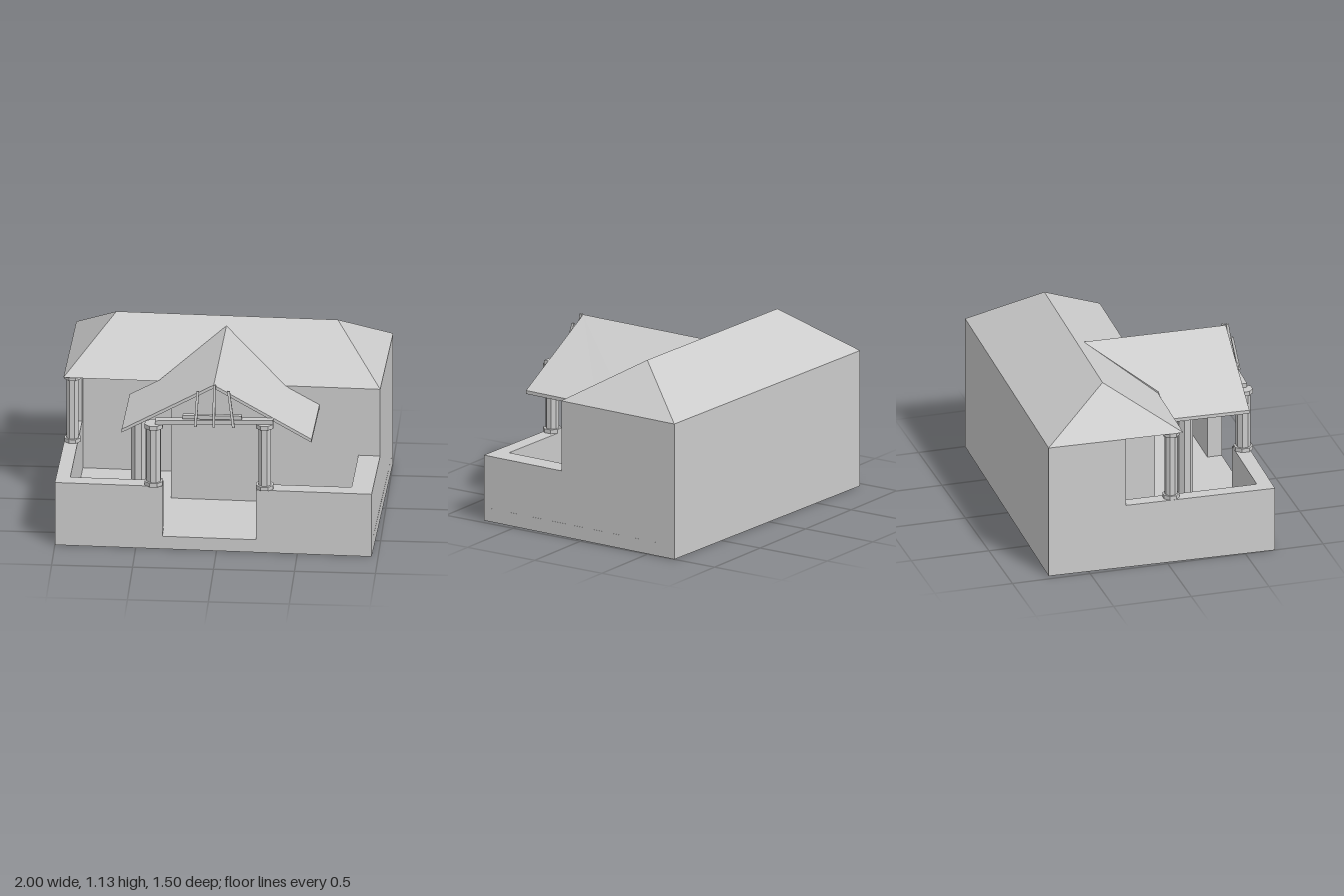
import * as THREE from 'three';

const material = new THREE.MeshStandardMaterial({ color: 0xcccccc, flatShading: true });

export function createModel() {
  const house = new THREE.Group();
  house.name = 'house';

  const add = (name, geometry, parent = house) => {
    const mesh = new THREE.Mesh(geometry, material);
    mesh.name = name;
    parent.add(mesh);
    return mesh;
  };

  // Upright block from a plan outline of [x, z] corners
  const block = (plan, y0, y1) => {
    const shape = new THREE.Shape(plan.map(([x, z]) => new THREE.Vector2(x, -z)));
    const geometry = new THREE.ExtrudeGeometry(shape, { depth: y1 - y0, bevelEnabled: false });
    return geometry.rotateX(-Math.PI / 2).translate(0, y0, 0);
  };

  // Rectangular bar between two points
  const bar = (name, from, to, width, depth) => {
    const a = new THREE.Vector3(...from), b = new THREE.Vector3(...to);
    const dir = b.clone().sub(a);
    const mesh = add(name, new THREE.BoxGeometry(width, dir.length(), depth));
    mesh.position.copy(a).add(b).multiplyScalar(0.5);
    mesh.quaternion.setFromUnitVectors(new THREE.Vector3(0, 1, 0), dir.normalize());
  };

  // Eight-sided column, with optional base and cap
  const column = (name, x, z, y0, y1, radius, trim) => {
    const group = new THREE.Group();
    group.name = name;
    group.position.set(x, 0, z);
    house.add(group);
    const drum = (part, r, lo, hi) => {
      const g = new THREE.CylinderGeometry(r, r, hi - lo, 8).rotateY(Math.PI / 8);
      add(part, g.translate(0, (lo + hi) / 2, 0), group);
    };
    if (trim) {
      drum('columnBase', trim, y0, y0 + 0.025);
      drum('columnCap', trim, y1 - 0.028, y1);
    }
    const inset = trim ? 0.025 : 0;
    drum('columnShaft', radius, y0 + inset, y1 - inset);
  };

  // Floor and walls
  const floorY = 0.085, wallY = 0.42, eaveY = 0.87;
  add('floor', block([[-0.96, -0.755], [1, -0.7], [0.96, 0.745], [-1, 0.69]], 0, floorY));
  add('mainHouse', block([
    [-0.96, -0.755], [1, -0.7], [0.975, 0.158], [-0.32, 0.122],
    [-0.31, -0.285], [-0.89, -0.305], [-0.892, -0.26], [-0.974, -0.26],
  ], floorY, eaveY));
  add('leftYardWall', block([
    [-0.974, -0.26], [-0.892, -0.26], [-0.91, 0.6],
    [-0.335, 0.615], [-0.335, 0.709], [-1, 0.69],
  ], floorY, wallY));
  add('rightYardWall', block([
    [0.245, 0.725], [0.96, 0.745], [0.975, 0.158],
    [0.84, 0.154], [0.83, 0.645], [0.245, 0.632],
  ], floorY, wallY));

  // Hipped main roof with a flat underside
  const corners = [
    [-0.96, eaveY, -0.755], [1, eaveY, -0.7], [0.975, eaveY, 0.16], [-0.985, eaveY, 0.105],
    [-0.685, 1.135, -0.325], [0.685, 1.135, -0.285],
  ];
  const faces = [3, 2, 5, 3, 5, 4, 2, 1, 5, 1, 0, 4, 1, 4, 5, 0, 3, 4, 0, 1, 2, 0, 2, 3];
  const hip = new THREE.BufferGeometry();
  hip.setAttribute('position', new THREE.Float32BufferAttribute(faces.flatMap(i => corners[i]), 3));
  hip.computeVertexNormals();
  add('mainRoof', hip);

  // Sloping porch roof: plan outlines sheared down from the ridge
  const ridgeX = z => -0.005 - 0.022 * z;
  const slopes = {
    leftPorchRoof: [[-0.59, 0.65], [-0.02, 0.67], [0, -0.24], [-0.39, 0.125], [-0.575, 0.115]],
    rightPorchRoof: [[0.585, 0.685], [-0.02, 0.67], [0, -0.24], [0.41, 0.15], [0.6, 0.15]],
  };
  for (const [name, plan] of Object.entries(slopes)) {
    const slab = block(plan, -0.022, 0);
    const p = slab.attributes.position;
    for (let i = 0; i < p.count; i++) {
      p.setY(i, p.getY(i) + 1.095 - 0.565 * Math.abs(p.getX(i) - ridgeX(p.getZ(i))));
    }
    slab.computeVertexNormals();
    add(name, slab);
  }

  // Columns and the tall inner pillar
  column('leftPorchColumn', -0.39, 0.67, wallY, 0.83, 0.046, 0.06);
  column('rightPorchColumn', 0.296, 0.685, wallY, 0.855, 0.042, 0.058);
  column('cornerColumn', -0.932, 0.04, wallY, eaveY, 0.04, 0.053);
  column('innerPillar', -0.51, 0.26, floorY, 0.785, 0.05);

  // Porch beams and leaning gable struts
  bar('porchBeam', [-0.38, 0.843, 0.675], [0.35, 0.872, 0.69], 0.028, 0.045);
  bar('tieBeam', [-0.21, 0.886, 0.685], [0.155, 0.894, 0.695], 0.025, 0.025);
  for (const [topX, footX, topY] of [[-0.118, -0.13, 1.055], [-0.015, -0.017, 1.1], [0.072, 0.105, 1.06]]) {
    bar('gableStrut', [footX, 0.835, 0.722], [topX, topY, 0.68], 0.016, 0.016);
  }

  return house;
}
